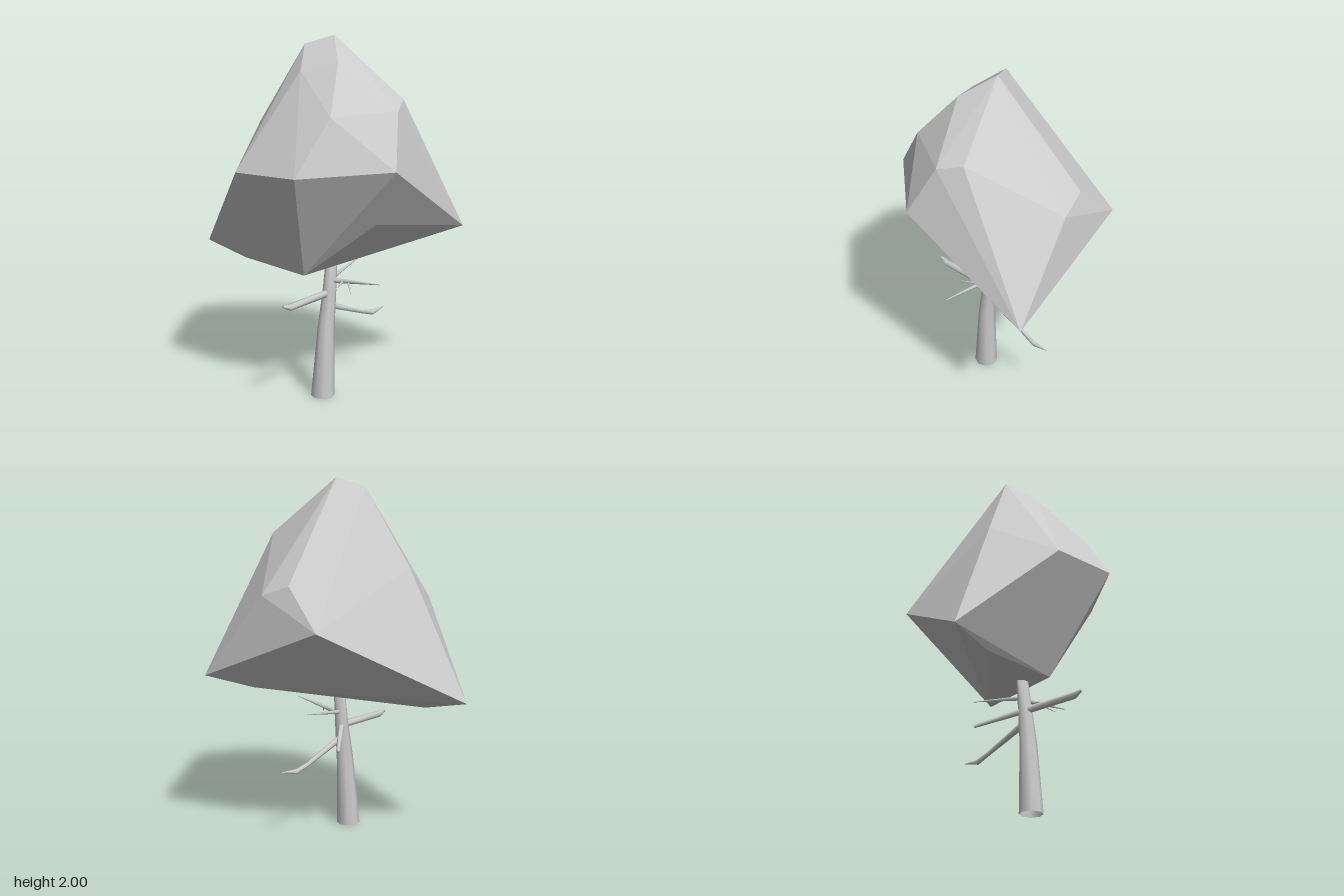
import * as THREE from 'three';
import { ConvexGeometry } from 'three/addons/geometries/ConvexGeometry.js';

const grey = new THREE.MeshStandardMaterial({ color: 0xcccccc, side: THREE.DoubleSide });
grey.name = 'paleGrey';

// Tapered limb: rings of the given radius around each path point [x, y, z, radius]
function limb(name, path, sides, firstAxis) {
  const pts = path.map(p => new THREE.Vector3(p[0], p[1], p[2]));
  const pos = [], idx = [];
  pts.forEach((p, i) => {
    const dir = pts[Math.min(i + 1, pts.length - 1)].clone()
      .sub(pts[Math.max(i - 1, 0)]).normalize();
    if (firstAxis) dir.set(0, 1, 0);
    const ref = Math.abs(dir.y) > 0.9 ? new THREE.Vector3(0, 0, 1) : new THREE.Vector3(0, 1, 0);
    const u = ref.cross(dir).normalize();
    const v = dir.clone().cross(u);
    for (let s = 0; s < sides; s++) {
      const a = (s / sides) * Math.PI * 2;
      const q = p.clone().addScaledVector(u, Math.cos(a) * path[i][3])
        .addScaledVector(v, Math.sin(a) * path[i][3]);
      pos.push(q.x, q.y, q.z);
    }
  });
  for (let i = 0; i < pts.length - 1; i++) {
    for (let s = 0; s < sides; s++) {
      const a = i * sides + s, b = i * sides + (s + 1) % sides;
      idx.push(a, b, a + sides, b, b + sides, a + sides);
    }
  }
  // Close the outer end
  const last = (pts.length - 1) * sides;
  for (let s = 1; s < sides - 1; s++) idx.push(last, last + s, last + s + 1);
  const geo = new THREE.BufferGeometry();
  geo.setAttribute('position', new THREE.Float32BufferAttribute(pos, 3));
  geo.setIndex(idx);
  geo.computeVertexNormals();
  const mesh = new THREE.Mesh(geo, grey);
  mesh.name = name;
  return mesh;
}

export function createModel() {
  const tree = new THREE.Group();
  tree.name = 'tree';

  // Faceted crown
  const corners = [
    // peak
    [0.09, 2.0, 0.03], [-0.05, 1.95, 0.11], [0.05, 1.83, 0.25], [0.24, 1.88, 0.17],
    // shoulders
    [0.36, 1.63, 0.36], [0.46, 1.68, -0.10], [0.53, 1.64, 0.03], [-0.29, 1.52, 0.21],
    // widest part
    [0.63, 1.355, 0.16], [0.30, 1.335, 0.565], [-0.125, 1.31, 0.565],
    [-0.26, 1.24, -0.48], [-0.03, 1.46, -0.45], [0.13, 1.40, -0.495],
    // lower rim and underside
    [-0.63, 0.80, 0.30], [0.525, 0.92, -0.565], [0.43, 1.03, 0.075],
    [0.10, 0.73, 0.285], [-0.36, 0.74, 0.27], [0.31, 0.86, -0.40],
  ];
  const crown = new THREE.Mesh(
    new ConvexGeometry(corners.map(c => new THREE.Vector3(...c))), grey);
  crown.name = 'crown';
  tree.add(crown);

  // Leaning trunk, open at the base
  tree.add(limb('trunk', [
    [0.103, 0, 0.138, 0.065], [0.11, 0.4, 0.117, 0.047],
    [0.112, 0.6, 0.093, 0.038], [0.112, 0.8, 0.073, 0.031],
  ], 8, true));

  // Branches and twigs
  const branches = {
    frontBranch: [[0.11, 0.592, 0.09, 0.02], [0.13, 0.592, 0.43, 0.019], [0.13, 0.607, 0.475, 0.008]],
    rightBranch: [[0.10, 0.59, 0.08, 0.018], [-0.065, 0.51, -0.12, 0.01]],
    backBranch: [[0.11, 0.52, 0.09, 0.019], [0.11, 0.415, -0.18, 0.012],
      [0.115, 0.388, -0.27, 0.015], [0.12, 0.404, -0.37, 0.002]],
    leftBranch: [[0.11, 0.66, 0.08, 0.016], [0.24, 0.678, 0.08, 0.011], [0.46, 0.706, 0.08, 0.002]],
    leftTwig: [[0.24, 0.676, 0.08, 0.007], [0.31, 0.63, 0.14, 0.001]],
    forwardTwig: [[0.20, 0.672, 0.08, 0.007], [0.24, 0.652, 0.20, 0.001]],
    upperBackBranch: [[0.11, 0.67, 0.08, 0.013], [0.05, 0.72, -0.24, 0.002]],
  };
  for (const [name, path] of Object.entries(branches)) tree.add(limb(name, path, 6, false));

  return tree;
}
